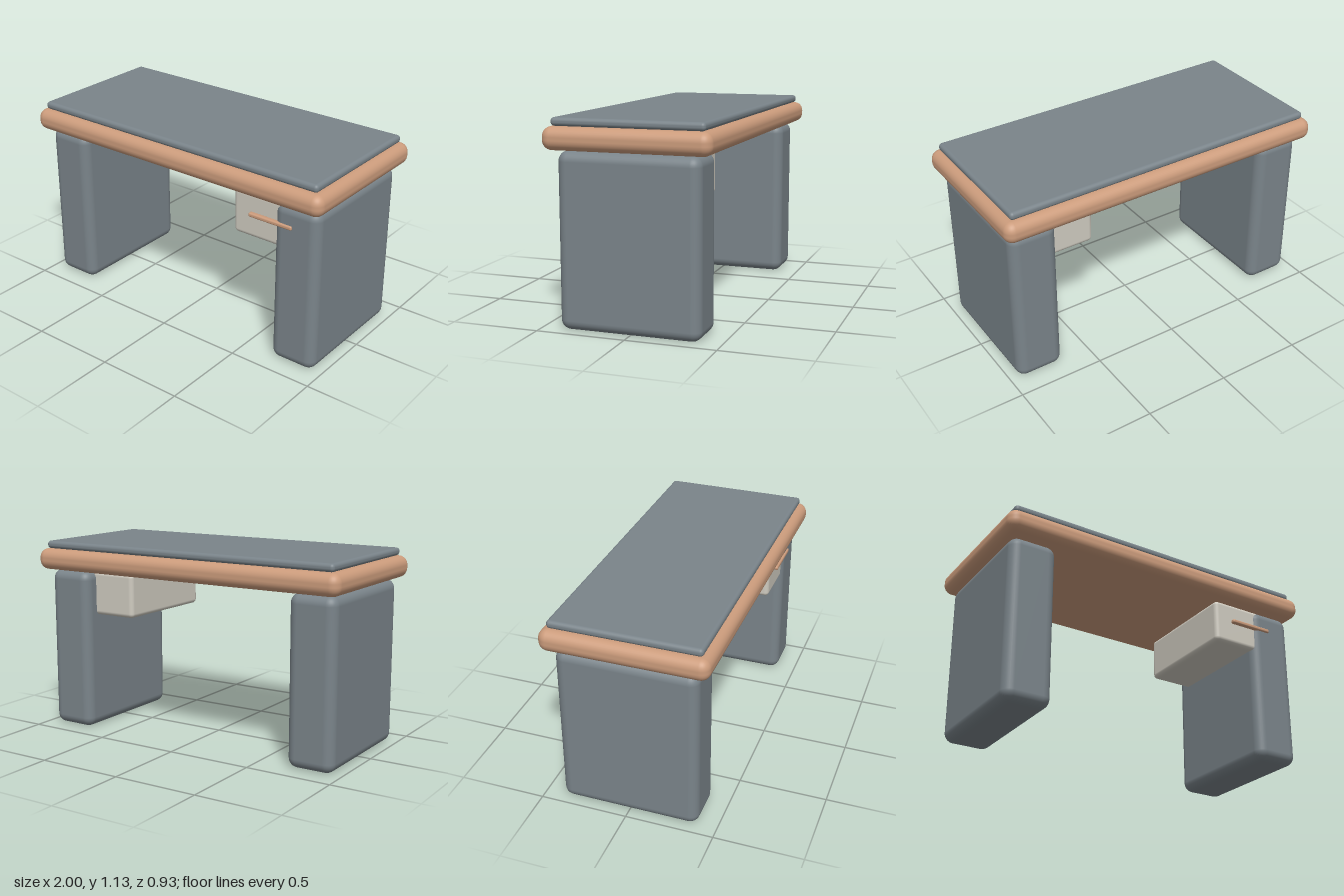
import * as THREE from 'three';
import { RoundedBoxGeometry } from 'three/addons/geometries/RoundedBoxGeometry.js';

export function createModel() {
  const desk = new THREE.Group();
  desk.name = 'desk';

  const material = (name, color) => {
    const m = new THREE.MeshStandardMaterial({ color });
    m.name = name;
    return m;
  };
  const slate = material('slate grey', 0x7a848a);
  const copper = material('copper', 0xcc9c7c);
  const cream = material('cream', 0xcfcbc0);

  // Rounded block given by its extent on each axis
  const block = (name, mat, [x0, x1], [y0, y1], [z0, z1], radius) => {
    const geometry = new RoundedBoxGeometry(x1 - x0, y1 - y0, z1 - z0, 4, radius);
    const mesh = new THREE.Mesh(geometry, mat);
    mesh.name = name;
    mesh.position.set((x0 + x1) / 2, (y0 + y1) / 2, (z0 + z1) / 2);
    desk.add(mesh);
    return mesh;
  };

  // Slab legs, one at each end
  block('leftLeg', slate, [0.677, 0.955], [0, 0.957], [-0.394, 0.394], 0.056);
  block('rightLeg', slate, [-0.955, -0.677], [0, 0.957], [-0.394, 0.394], 0.056);

  // Thick desktop with a thin inlaid surface above it
  block('desktop', copper, [-1, 1], [0.96, 1.085], [-0.463, 0.463], 0.054);
  block('surfacePad', slate, [-0.955, 0.955], [1.085, 1.13], [-0.421, 0.421], 0.02);

  // Drawer hung below the desktop, running into the left leg
  block('drawer', cream, [0.41, 0.91], [0.69, 0.953], [-0.305, 0.379], 0.026);

  // Bar handle across the drawer front
  block('drawerHandle', copper, [0.523, 0.797], [0.822, 0.846], [0.375, 0.404], 0.009);

  return desk;
}
